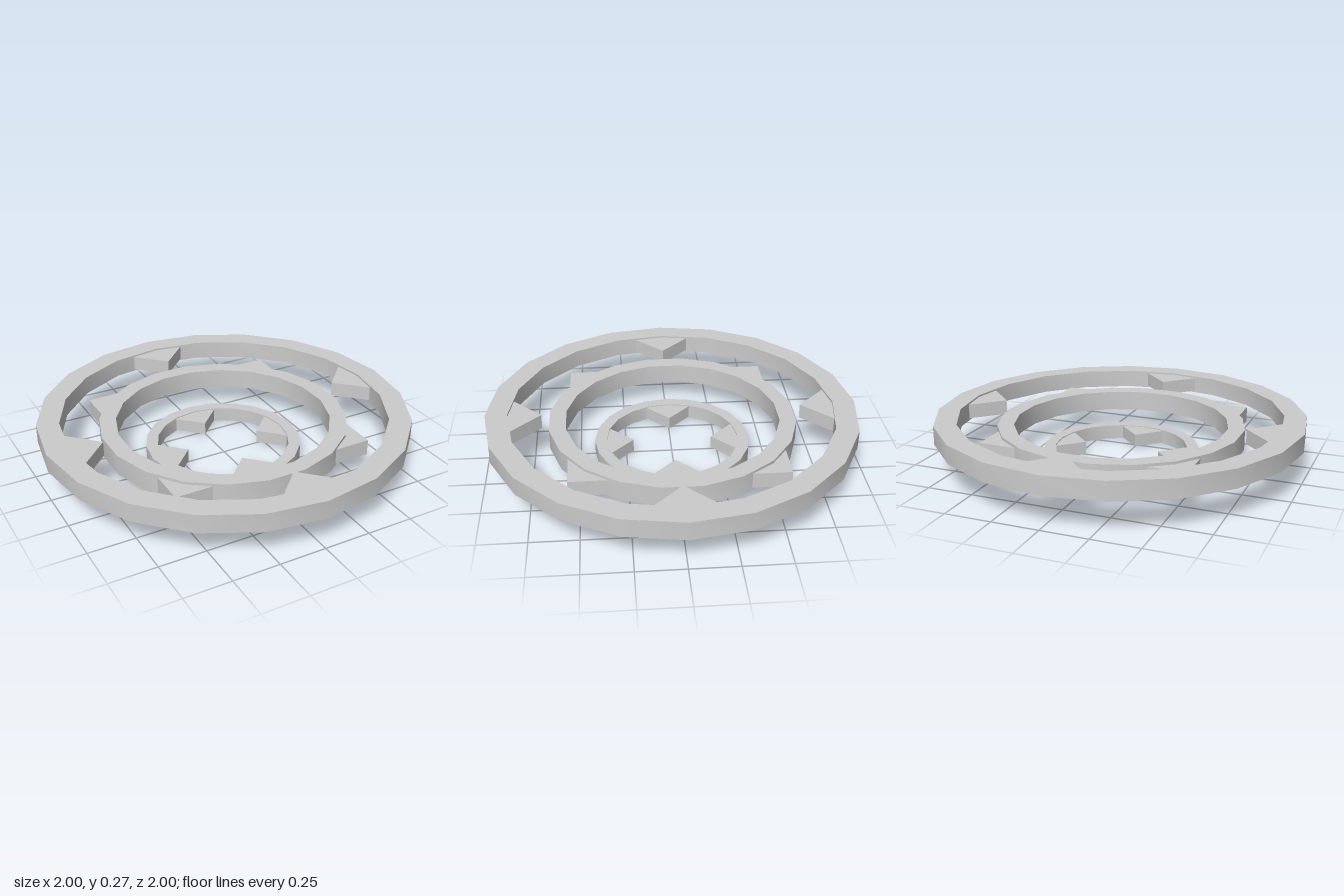
import * as THREE from 'three';
import { toCreasedNormals } from 'three/addons/utils/BufferGeometryUtils.js';

const SIDES = 20;
const material = new THREE.MeshStandardMaterial({ color: 0xcccccc });

// Flat ring with a rectangular section between two radii and two heights
function makeRing(name, inner, outer, bottom, top, turn) {
  const profile = [
    [inner, bottom], [outer, bottom], [outer, top], [inner, top], [inner, bottom],
  ].map(([r, y]) => new THREE.Vector2(r, y));
  const geometry = new THREE.LatheGeometry(profile, SIDES);
  geometry.rotateY(turn);
  const mesh = new THREE.Mesh(toCreasedNormals(geometry, Math.PI / 6), material);
  mesh.name = name;
  return mesh;
}

// Four right-angled points; each runs from its tip to a base sunk in the ring
function makeTeeth(name, tip, base, bottom, top, turn) {
  const group = new THREE.Group();
  group.name = name;
  const half = Math.abs(base - tip);
  const corners = [[tip, 0], [base, half], [base, -half]].map(([x, y]) => new THREE.Vector2(x, y));
  const geometry = new THREE.ExtrudeGeometry(new THREE.Shape(corners), {
    depth: top - bottom, bevelEnabled: false,
  });
  geometry.rotateX(-Math.PI / 2);
  geometry.translate(0, bottom, 0);
  for (let i = 0; i < 4; i++) {
    const tooth = new THREE.Mesh(geometry, material);
    tooth.name = 'tooth';
    tooth.rotation.y = turn + i * Math.PI / 2;
    group.add(tooth);
  }
  return group;
}

export function createModel() {
  const model = new THREE.Group();
  model.name = 'tieredRings';

  // Top tier: widest ring, teeth pointing inward
  const outerTier = new THREE.Group();
  outerTier.name = 'outerTier';
  outerTier.add(
    makeRing('outerRing', 0.88, 1, 0.17, 0.27, 0),
    makeTeeth('outerTeeth', 0.7, 0.93, 0.18, 0.26, 0),
  );

  // Middle tier: turned half a side, teeth pointing outward on the diagonals
  const middleTier = new THREE.Group();
  middleTier.name = 'middleTier';
  middleTier.add(
    makeRing('middleRing', 0.58, 0.67, 0.11, 0.22, Math.PI / SIDES),
    makeTeeth('middleTeeth', 0.558 * Math.SQRT2, 0.6, 0.12, 0.205, Math.PI / 4),
  );
  middleTier.position.set(-0.005, 0, -0.003);

  // Bottom tier: smallest ring, teeth pointing inward
  const innerTier = new THREE.Group();
  innerTier.name = 'innerTier';
  innerTier.add(
    makeRing('innerRing', 0.36, 0.423, 0, 0.08, 0),
    makeTeeth('innerTeeth', 0.213, 0.38, 0.005, 0.075, 0),
  );
  innerTier.position.set(-0.005, 0, -0.003);

  model.add(outerTier, middleTier, innerTier);
  return model;
}
